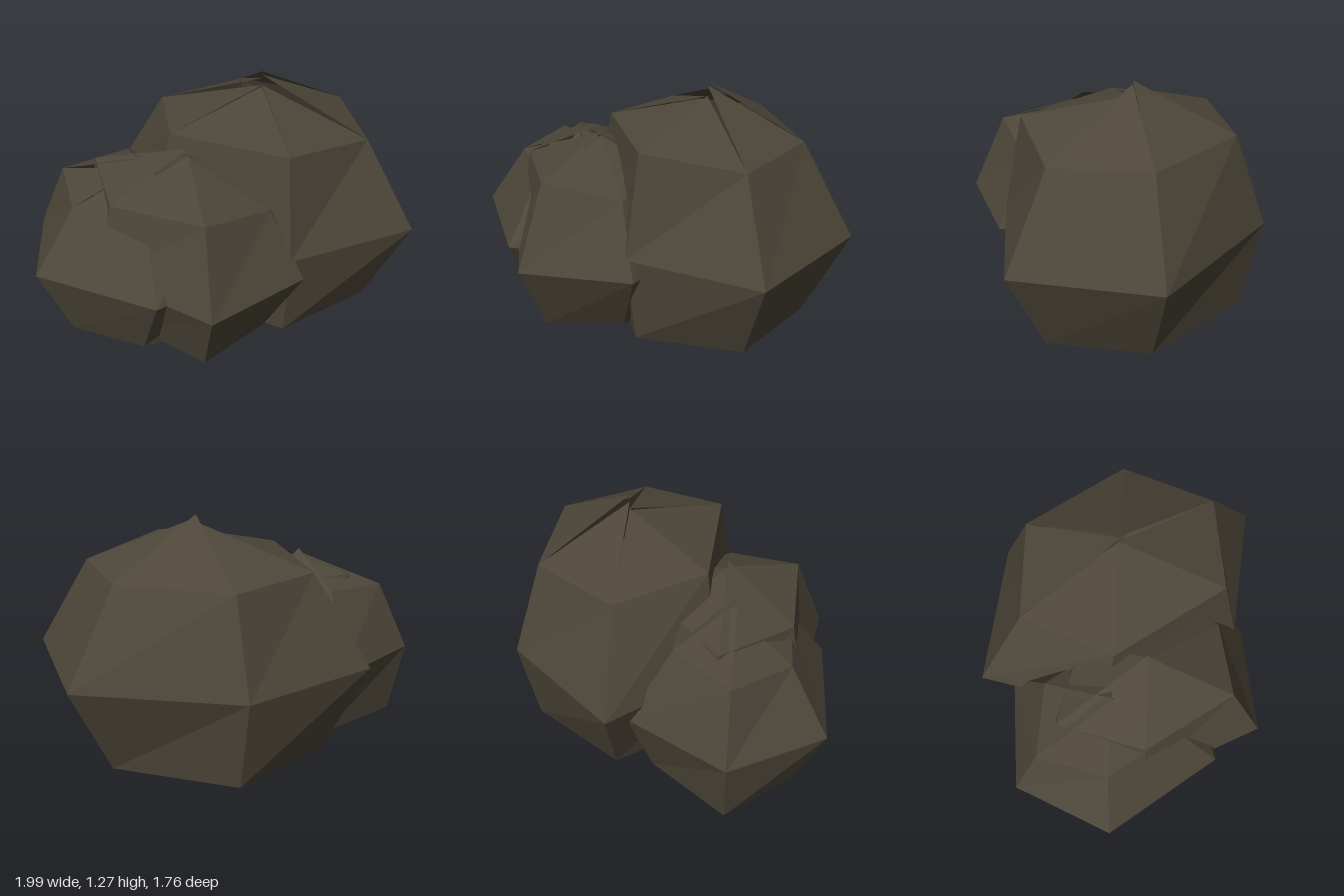
import * as THREE from 'three';

const stone = new THREE.MeshStandardMaterial({ color: 0x4d4639, flatShading: true, side: THREE.DoubleSide });
stone.name = 'dark stone';

// Faceted boulder: rings run right, front right, front left, left, back left, back right.
// Each top facet has its own peak height, which leaves the crown slightly split.
function boulder(name, base, middle, upper, [px, pz], peaks) {
  const pos = [];
  const tri = (...pts) => pts.forEach((p) => pos.push(...p));
  const rings = [base, middle, upper];
  const n = base.length;
  for (let i = 0; i < n; i++) {
    const j = (i + 1) % n;
    for (let r = 0; r < 2; r++) {
      const lo = rings[r], hi = rings[r + 1];
      tri(lo[j], lo[i], hi[i]);
      tri(lo[j], hi[i], hi[j]);
    }
    tri(upper[j], upper[i], [px, peaks[i], pz]); // crown
    tri(base[i], base[j], [px, 0.01, pz]); // underside
  }
  const geometry = new THREE.BufferGeometry();
  geometry.setAttribute('position', new THREE.Float32BufferAttribute(pos, 3));
  geometry.computeVertexNormals();
  const mesh = new THREE.Mesh(geometry, stone);
  mesh.name = name;
  return mesh;
}

export function createModel() {
  const group = new THREE.Group();
  group.name = 'boulders';

  group.add(boulder('largeBoulder',
    [[0.74, 0, -0.22], [0.45, 0, 0.28], [-0.26, 0, 0.24], [-0.6, 0, -0.22], [-0.26, 0, -0.72], [0.43, 0, -0.68]],
    [[0.99, 0.5, -0.22], [0.5, 0.5, 0.34], [-0.38, 0.5, 0.29], [-0.84, 0.5, -0.22], [-0.32, 0.5, -0.8], [0.57, 0.5, -0.88]],
    [[0.7, 0.99, -0.22], [0.44, 1.05, 0.25], [-0.24, 1.03, 0.23], [-0.53, 1.0, -0.22], [-0.22, 1.0, -0.66], [0.4, 1.0, -0.65]],
    [0.09, -0.22], [1.19, 1.18, 1.19, 1.23, 1.27, 1.25]));

  group.add(boulder('leftBoulder',
    [[0.14, 0, 0.39], [-0.17, 0, 0.73], [-0.6, 0, 0.75], [-0.92, 0, 0.39], [-0.6, 0, -0.02], [-0.15, 0, -0.02]],
    [[0.26, 0.4, 0.39], [0, 0.4, 0.87], [-0.71, 0.4, 0.88], [-1, 0.4, 0.39], [-0.69, 0.4, -0.14], [-0.04, 0.4, -0.14]],
    [[0.08, 0.76, 0.39], [-0.15, 0.74, 0.67], [-0.58, 0.74, 0.68], [-0.83, 0.77, 0.39], [-0.59, 0.8, 0.09], [-0.16, 0.78, 0.09]],
    [-0.36, 0.39], [0.9, 0.86, 0.88, 0.93, 0.95, 0.92]));

  group.add(boulder('frontBoulder',
    [[0.35, 0.03, 0.32], [0.18, 0, 0.71], [-0.34, 0.02, 0.62], [-0.52, 0.02, 0.32], [-0.32, 0.02, -0.05], [0.15, 0.02, -0.05]],
    [[0.57, 0.4, 0.32], [0.3, 0.4, 0.86], [-0.4, 0.4, 0.75], [-0.72, 0.4, 0.32], [-0.38, 0.4, -0.16], [0.24, 0.4, -0.16]],
    [[0.37, 0.77, 0.32], [0.19, 0.84, 0.7], [-0.35, 0.81, 0.68], [-0.66, 0.84, 0.32], [-0.32, 0.84, 0.02], [0.17, 0.8, 0.02]],
    [-0.09, 0.32], [0.96, 0.98, 1.02, 0.97, 0.97, 0.96]));

  return group;
}
